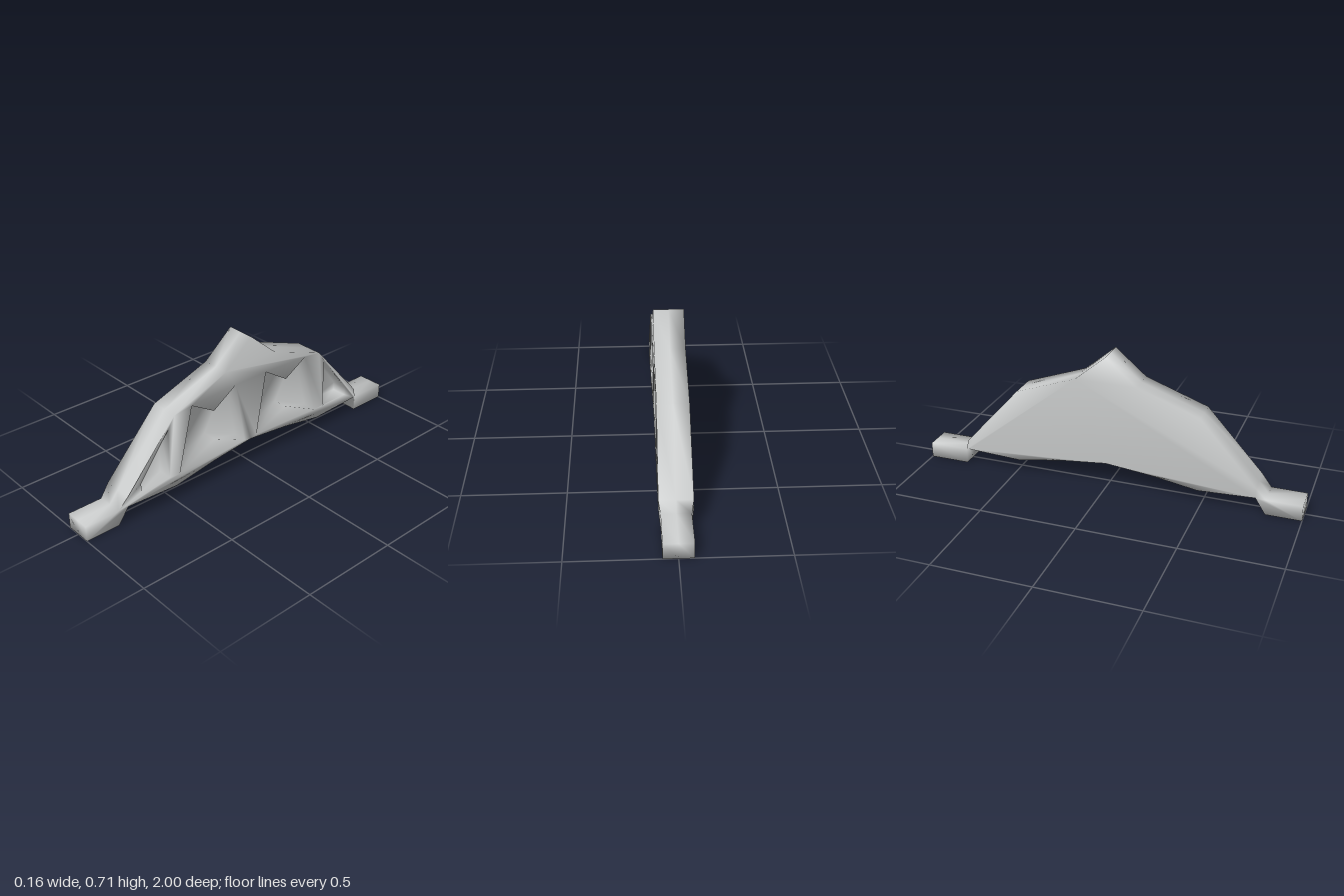
import * as THREE from 'three';

// Side outline, counter-clockwise seen from +x: [z, y, half width]
const bottom = [
  [1, 0, 0.07], [0.82, 0, 0.07], [0.77, 0.088, 0.08], [0.48, 0.073, 0.078], [0.24, 0.112, 0.077],
  [0, 0.137, 0.076],
  [-0.24, 0.112, 0.077], [-0.48, 0.073, 0.078], [-0.77, 0.088, 0.08], [-0.79, 0, 0.07], [-1, 0, 0.07],
];
const top = [
  [-1, 0.08, 0.07], [-0.79, 0.08, 0.07], [-0.77, 0.14, 0.08], [-0.48, 0.462, 0.076], [-0.16, 0.577, 0.0755],
  [0, 0.712, 0.075],
  [0.16, 0.577, 0.0755], [0.48, 0.462, 0.076], [0.77, 0.14, 0.08], [0.82, 0.08, 0.07], [1, 0.08, 0.07],
];
const outline = [...bottom, ...top];

// Pockets recessed into the +x face, one of each per end
const cornerPocket = [[0.69, 0.135, 0.079], [0.52, 0.135, 0.078], [0.52, 0.4, 0.077], [0.69, 0.18, 0.079]];
const trussPocket = [
  [0.46, 0.13, 0.077], [0.24, 0.235, 0.077], [0.04, 0.145, 0.076],
  [0.1, 0.485, 0.076], [0.24, 0.395, 0.077], [0.375, 0.475, 0.077],
];
const mirrorZ = (loop) => loop.map(([z, y, w]) => [-z, y, w]).reverse();
const pockets = [cornerPocket, trussPocket, mirrorZ(trussPocket), mirrorZ(cornerPocket)];
const pocketFloor = 0;

function buildBracket() {
  const positions = [];
  const index = [];
  const addLoop = (loop, xOf) => loop.map(([z, y, w]) => positions.push(xOf(w), y, z) / 3 - 1);
  const flat = (loop) => loop.map(([z, y]) => new THREE.Vector2(-z, y));

  // Fill a loop (with holes) so that it faces +x, or -x when flipped
  const fill = (loop, holes, ids, flip) => {
    const pts = [flat(loop), ...holes.map(flat)].flat();
    for (const [a, b, c] of THREE.ShapeUtils.triangulateShape(flat(loop), holes.map(flat))) {
      const ccw = pts[b].clone().sub(pts[a]).cross(pts[c].clone().sub(pts[a])) > 0;
      if (ccw !== flip) index.push(ids[a], ids[b], ids[c]);
      else index.push(ids[a], ids[c], ids[b]);
    }
  };

  // Wall between two matching loops, facing outward when going from -x to +x
  const wall = (from, to) => {
    from.forEach((a, i) => {
      const j = (i + 1) % from.length;
      index.push(a, from[j], to[j], a, to[j], to[i]);
    });
  };

  const plainSide = addLoop(outline, (w) => -w);
  const middle = addLoop(outline, () => 0);
  const pocketSide = addLoop(outline, (w) => w);
  const rims = pockets.map((p) => addLoop(p, (w) => w));

  // Edge band with a centre line, then both faces
  wall(plainSide, middle);
  wall(middle, pocketSide);
  fill(outline, [], plainSide, true);
  fill(outline, pockets, [...pocketSide, ...rims.flat()], false);

  // Pocket walls and floors
  pockets.forEach((p, i) => {
    const floor = addLoop(p, () => pocketFloor);
    wall(rims[i], floor);
    fill(p, [], floor, false);
  });

  const geometry = new THREE.BufferGeometry();
  geometry.setAttribute('position', new THREE.Float32BufferAttribute(positions, 3));
  geometry.setIndex(index);
  geometry.computeVertexNormals();
  return geometry;
}

export function createModel() {
  const group = new THREE.Group();
  group.name = 'archedBracket';
  const metal = new THREE.MeshStandardMaterial({ color: 0xc8caca });
  metal.name = 'light grey metal';
  const bracket = new THREE.Mesh(buildBracket(), metal);
  bracket.name = 'bracketBody';
  group.add(bracket);
  return group;
}
